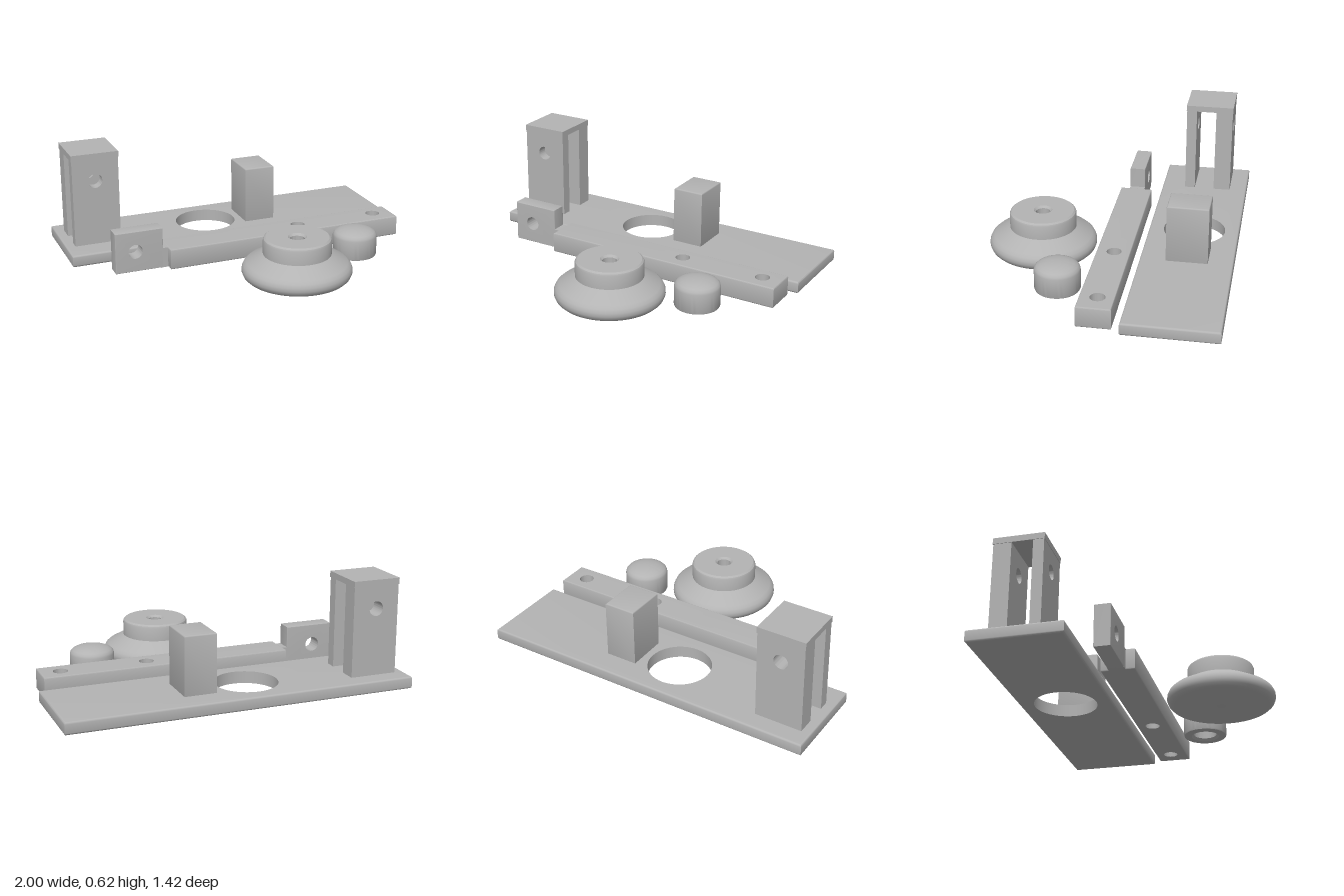
import * as THREE from 'three';
import { toCreasedNormals } from 'three/addons/utils/BufferGeometryUtils.js';

// Block drawn in the u-v plane and extruded from d0 to d1, with straight round
// holes [u, v, r] and softened outer edges.
function block([u0, u1], [v0, v1], [d0, d1], holes = [], bevel = 0) {
  const shape = new THREE.Shape([
    new THREE.Vector2(u0, v0), new THREE.Vector2(u1, v0),
    new THREE.Vector2(u1, v1), new THREE.Vector2(u0, v1)
  ]);
  for (const [u, v, r] of holes) {
    shape.holes.push(new THREE.Path().absarc(u, v, r, 0, Math.PI * 2, true));
  }
  const geo = new THREE.ExtrudeGeometry(shape, {
    depth: d1 - d0 - 2 * bevel, curveSegments: 32, bevelEnabled: bevel > 0,
    bevelSize: bevel, bevelThickness: bevel, bevelOffset: -bevel, bevelSegments: 3
  });
  geo.translate(0, 0, d0 + bevel);
  // Keep the hole walls straight where the bevel would flare them
  const p = geo.attributes.position;
  for (let i = 0; i < p.count; i++) {
    for (const [u, v, r] of holes) {
      const du = p.getX(i) - u, dv = p.getY(i) - v, d = Math.hypot(du, dv);
      if (Math.abs(d - r) < bevel * 1.3) p.setXY(i, u + du * r / d, v + dv * r / d);
    }
  }
  return toCreasedNormals(geo, 0.6);
}

// Same block laid flat: x range, z range, y range, holes [x, z, r]
function flatBlock(x, [z0, z1], y, holes = [], bevel = 0) {
  const geo = block(x, [-z1, -z0], y, holes.map(([u, w, r]) => [u, -w, r]), bevel);
  return geo.rotateX(-Math.PI / 2);
}

// Turned part from [radius, height] points, listed from the bottom up
function turned(points, crease = 0.5) {
  const pts = points.map(([r, y]) => new THREE.Vector2(r, y));
  return toCreasedNormals(new THREE.LatheGeometry(pts, 64), crease);
}

export function createModel() {
  const model = new THREE.Group();
  const grey = new THREE.MeshStandardMaterial({ color: 0xb3b3b3 });
  grey.name = 'plain grey';

  const add = (name, geometry, parent = model) => {
    const mesh = new THREE.Mesh(geometry, grey);
    mesh.name = name;
    parent.add(mesh);
    return mesh;
  };
  const group = (name) => {
    const g = new THREE.Group();
    g.name = name;
    model.add(g);
    return g;
  };

  // Base plate with its large opening and the solid post
  const base = group('base');
  add('basePlate', flatBlock([-1, 1], [-0.715, -0.19], [0, 0.07], [[-0.1, -0.455, 0.18]], 0.011), base);
  add('post', flatBlock([0.12, 0.305], [-0.573, -0.337], [0.05, 0.405], [], 0.008), base);

  // Slotted tower: two drilled legs under a cap
  const tower = group('tower');
  const pin = [[-0.812, 0.455, 0.042]];
  for (const [name, z] of [['frontLeg', [-0.392, -0.331]], ['backLeg', [-0.612, -0.511]]]) {
    add(name, block([-0.947, -0.673], [0.06, 0.59], z, pin), tower);
  }
  add('towerCap', flatBlock([-0.95, -0.67], [-0.615, -0.328], [0.585, 0.62]), tower);

  // Lever: drilled bar with a narrow upright tongue
  const lever = group('lever');
  add('leverBar', flatBlock([-0.492, 0.957], [-0.143, 0.047], [0, 0.12],
    [[0.34, -0.052, 0.042], [0.842, -0.052, 0.042]], 0.007), lever);
  add('leverTongue', block([-0.8, -0.52], [0, 0.24], [-0.097, -0.005], [[-0.683, 0.12, 0.042]], 0.004), lever);
  add('tongueNeck', flatBlock([-0.53, -0.48], [-0.097, -0.005], [0, 0.118]), lever);

  // Flared knob with a blind hole in its top
  const knob = add('knob', turned([
    [0, 0], [0.268, 0], [0.287, 0.006], [0.302, 0.02], [0.31, 0.04], [0.309, 0.06],
    [0.3, 0.079], [0.283, 0.094], [0.192, 0.144],
    [0.192, 0.222], [0.188, 0.232], [0.178, 0.24],
    [0.053, 0.24], [0.041, 0.228], [0.041, 0.1], [0, 0.1]
  ]));
  knob.position.set(0.13, 0, 0.4);

  // Small domed button, hollow underneath
  const button = add('button', turned([
    [0, 0.1], [0.068, 0.1], [0.068, 0.014], [0.082, 0],
    [0.118, 0], [0.125, 0.003], [0.128, 0.01], [0.128, 0.118], [0.124, 0.131],
    [0.113, 0.143], [0.092, 0.153], [0.062, 0.161], [0.03, 0.165], [0, 0.166]
  ]));
  button.position.set(0.582, 0, 0.22);

  return model;
}
